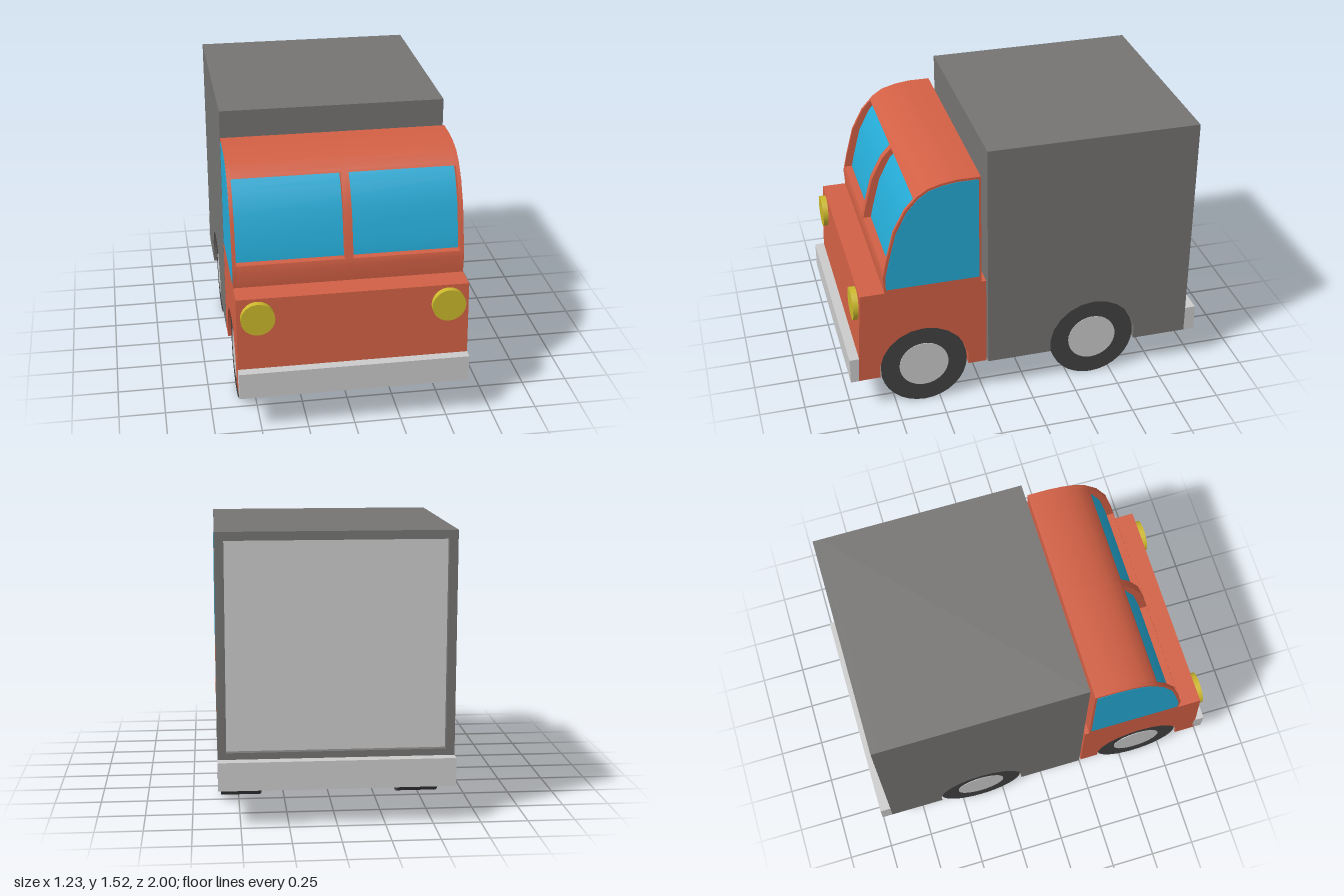
import * as THREE from 'three';
import { toCreasedNormals } from 'three/addons/utils/BufferGeometryUtils.js';

const mat = (color) => new THREE.MeshStandardMaterial({ color });
const RED = mat(0xd26045), DARK = mat(0x757472), GLASS = mat(0x25abd6);
const LIGHT = mat(0xcccccc), TYRE = mat(0x424242), YELLOW = mat(0xcdb92d);

const HALF = 0.615;             // half width of the bodywork
const AXLE_Y = 0.243, ARCH_R = 0.25;
const FRONT_AXLE = 0.587, REAR_AXLE = -0.385;

// Windscreen and roof line as [z, y], from the bonnet up and back
const screenLine = [[0.796, 0.85], [0.789, 0.88], [0.775, 0.946], [0.73, 1.118], [0.667, 1.24], [0.615, 1.297]];
const roofLine = [[0.615, 1.297], [0.598, 1.316], [0.54, 1.354], [0.464, 1.375], [0.383, 1.386], [0.26, 1.386]];

export function createModel() {
  const group = new THREE.Group();

  const add = (name, geometry, material) => {
    const mesh = new THREE.Mesh(geometry, material);
    mesh.name = name;
    group.add(mesh);
    return mesh;
  };
  const box = (name, material, x0, x1, y0, y1, z0, z1) => {
    const g = new THREE.BoxGeometry(x1 - x0, y1 - y0, z1 - z0);
    g.translate((x0 + x1) / 2, (y0 + y1) / 2, (z0 + z1) / 2);
    return add(name, g, material);
  };
  const outline = (points) => new THREE.Shape(points.map(([z, y]) => new THREE.Vector2(z, y)));
  // Side-view shape (z, y) stretched across the width from x0 to x1
  const across = (name, material, shape, x0, x1) => {
    const g = new THREE.ExtrudeGeometry(shape, { depth: x1 - x0, bevelEnabled: false, curveSegments: 6 });
    g.rotateY(-Math.PI / 2);
    g.translate(x1, 0, 0);
    return add(name, toCreasedNormals(g, 0.4), material);
  };
  // Body side outline whose last point is the rear bottom, closed by a wheel arch
  const archedOutline = (points, axleZ) => {
    const s = outline(points);
    const dip = Math.asin((AXLE_Y - points[0][1]) / ARCH_R);
    s.absarc(axleZ, AXLE_Y, ARCH_R, Math.PI + dip, -dip, true);
    s.closePath();
    return s;
  };

  // Cargo box with wheel tunnel
  across('cargoBox', DARK, archedOutline(
    [[0.225, 0.2], [0.225, 1.525], [-0.9, 1.525], [-0.9, 0.2]], REAR_AXLE), -HALF, HALF);

  // Rear door set back in a raised frame
  const frame = new THREE.Shape();
  frame.moveTo(-HALF, 0.2).lineTo(HALF, 0.2).lineTo(HALF, 1.525).lineTo(-HALF, 1.525).closePath();
  const opening = new THREE.Path();
  opening.moveTo(-0.57, 0.385).lineTo(-0.57, 1.48).lineTo(0.57, 1.48).lineTo(0.57, 0.385).closePath();
  frame.holes.push(opening);
  const frameGeo = new THREE.ExtrudeGeometry(frame, { depth: 0.04, bevelEnabled: false });
  frameGeo.translate(0, 0, -0.94);
  add('rearDoorFrame', frameGeo, DARK);
  box('rearDoor', LIGHT, -0.57, 0.57, 0.385, 1.48, -0.905, -0.89);

  // Lower cab with wheel tunnel
  across('cabLower', RED, archedOutline(
    [[0.955, 0.21], [0.925, 0.755], [0.26, 0.755], [0.26, 0.74], [0.235, 0.74], [0.235, 0.21]],
    FRONT_AXLE), -HALF, HALF);

  // Upper cab: sides, centre pillar, sill, roof with rear wall
  const cabSide = outline([[0.26, 0.75], [0.79, 0.75], ...screenLine, ...roofLine.slice(1)]);
  across('cabSideLeft', RED, cabSide, 0.595, HALF);
  across('cabSideRight', RED, cabSide, -HALF, -0.595);
  across('windscreenPillar', RED, cabSide, -0.022, 0.022);
  across('windscreenSill', RED,
    outline([[0.27, 0.75], [0.79, 0.75], [0.796, 0.85], [0.789, 0.88], [0.27, 0.88]]), -0.595, 0.595);
  across('cabRoof', RED,
    outline([...roofLine, [0.26, 0.75], [0.3, 0.75], [0.3, 1.287], [0.575, 1.287]]), -0.595, 0.595);

  // Windscreen, set back behind the pillar
  across('windscreen', GLASS, outline([[0.29, 0.8], [0.755, 0.8],
    ...screenLine.slice(1).map(([z, y]) => [z - 0.042, y]), [0.29, 1.297]]), -0.594, 0.594);

  // Side windows
  const sideWindow = outline([[0.272, 0.775], [0.782, 0.775], [0.782, 0.85], [0.761, 0.943],
    [0.717, 1.112], [0.656, 1.231], [0.59, 1.304], [0.535, 1.341], [0.462, 1.362], [0.383, 1.372], [0.272, 1.372]]);
  across('sideWindowLeft', GLASS, sideWindow, 0.6, HALF + 0.002);
  across('sideWindowRight', GLASS, sideWindow, -HALF - 0.002, -0.6);

  // Bumpers and the plate at the front of the wheel tunnel
  box('frontBumper', LIGHT, -HALF, HALF, 0.208, 0.355, 0.94, 1);
  box('rearBumper', LIGHT, -HALF, HALF, 0.2, 0.35, -1, -0.94);
  box('tunnelPlate', LIGHT, -0.6, 0.6, 0.212, 0.3, 0.828, 0.836);

  for (const side of [1, -1]) {
    // Headlights
    const lamp = new THREE.CylinderGeometry(0.09, 0.09, 0.06, 32);
    lamp.rotateX(Math.PI / 2);
    add('headlight', lamp, YELLOW).position.set(side * 0.505, 0.65, 0.93);

    // Wheels with hub discs on the outside
    for (const z of [FRONT_AXLE, REAR_AXLE]) {
      const tyre = new THREE.CylinderGeometry(AXLE_Y, AXLE_Y, 0.22, 32);
      tyre.rotateZ(Math.PI / 2);
      add('tyre', tyre, TYRE).position.set(side * 0.487, AXLE_Y, z);
      const hub = new THREE.CylinderGeometry(0.138, 0.138, 0.02, 32);
      hub.rotateZ(Math.PI / 2);
      add('hub', hub, LIGHT).position.set(side * 0.59, AXLE_Y, z);
    }
  }
  return group;
}
